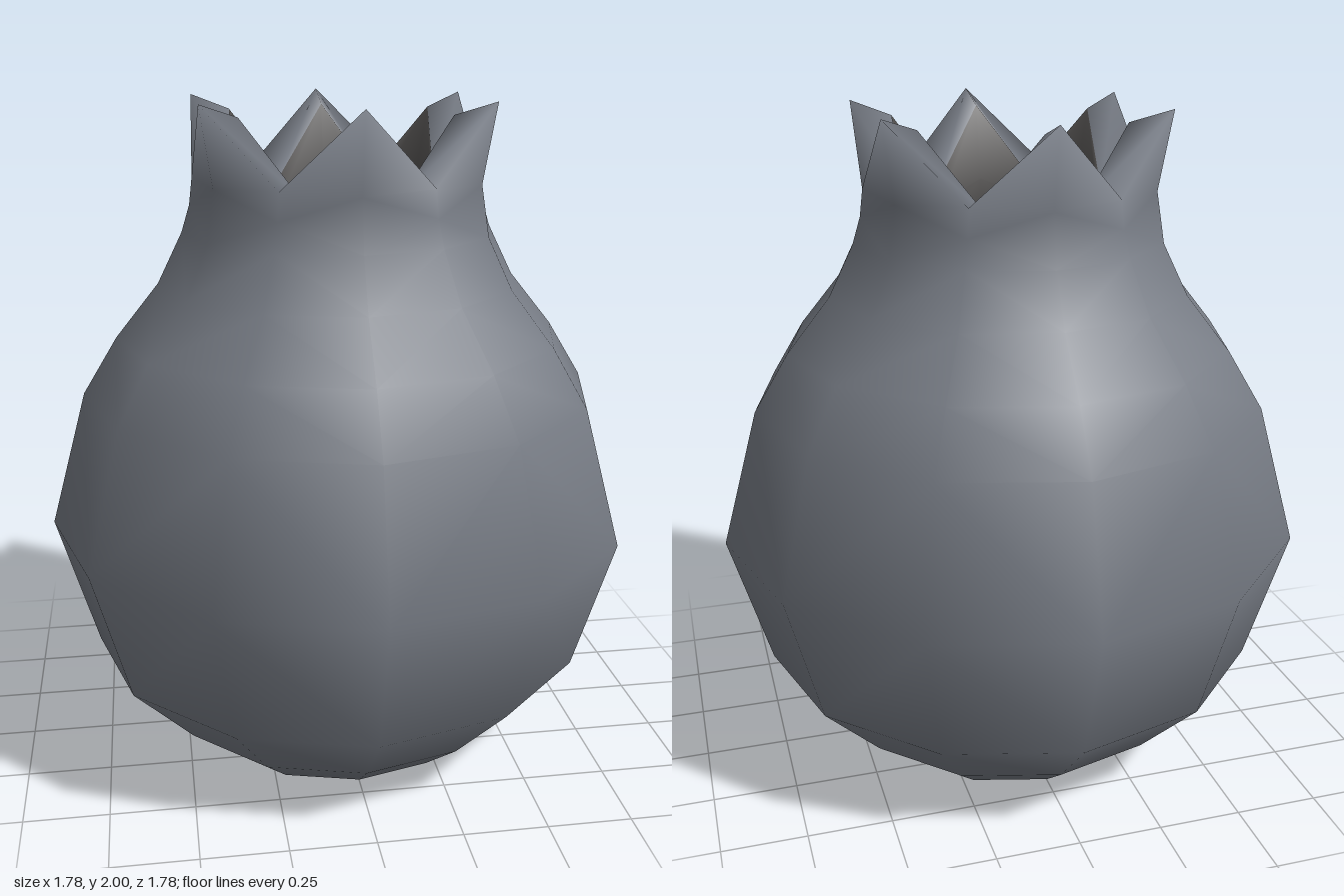
import * as THREE from 'three';

const SIDES = 12;

// Each ring: [radius, height] on valley columns, then optionally on tip columns
const SKIN = [
  [0, 0], [0.24, 0], [0.44, 0.005], [0.57, 0.11], [0.77, 0.32], [0.89, 0.73],
  [0.775, 1.14], [0.67, 1.31], [0.54, 1.47], [0.465, 1.62],
  [0.44, 1.7, 0.44, 1.77],    // base of the crown points
  [0.43, 1.78, 0.48, 2.0],    // outer crown edge
  [0.29, 1.75, 0.352, 1.96],  // inner crown edge
];
const INSIDE = [
  [0.285, 1.68, 0.305, 1.74], [0.28, 1.58], [0.4, 1.37], [0.58, 1.15],
  [0.74, 0.73], [0.63, 0.4], [0.4, 0.18], [0, 0.14],
];

// Rings joined into one closed, smooth shell with a material group per zone
function shellGeometry() {
  const rings = [...SKIN, ...INSIDE];
  const positions = [];
  const index = [];
  for (const [r, y, tipR = r, tipY = y] of rings) {
    for (let j = 0; j < SIDES; j++) {
      const a = (j / SIDES) * Math.PI * 2;
      const tip = j % 2 === 1;
      const radius = tip ? tipR : r;
      positions.push(radius * Math.cos(a), tip ? tipY : y, radius * Math.sin(a));
    }
  }
  let skinCount = 0;
  for (let i = 0; i < rings.length - 1; i++) {
    for (let j = 0; j < SIDES; j++) {
      const k = (j + 1) % SIDES;
      // the poles are single points
      const a = i === 0 ? 0 : i * SIDES + j;
      const b = i === 0 ? 0 : i * SIDES + k;
      const last = i === rings.length - 2;
      const d = (i + 1) * SIDES + (last ? 0 : j);
      const c = (i + 1) * SIDES + (last ? 0 : k);
      // diagonals mirrored on alternate columns so every crown point is symmetric
      const tris = j % 2 ? [[a, d, c], [a, c, b]] : [[a, d, b], [b, d, c]];
      for (const t of tris) {
        if (new Set(t).size === 3) index.push(...t);
      }
    }
    if (i === SKIN.length - 2) skinCount = index.length;
  }
  const geometry = new THREE.BufferGeometry();
  geometry.setAttribute('position', new THREE.Float32BufferAttribute(positions, 3));
  geometry.setIndex(index);
  geometry.addGroup(0, skinCount, 0);
  geometry.addGroup(skinCount, index.length - skinCount, 1);
  geometry.computeVertexNormals();
  return geometry;
}

export function createModel() {
  const skin = new THREE.MeshStandardMaterial({ color: 0x777c85 });
  skin.name = 'slate grey skin';
  const inside = new THREE.MeshStandardMaterial({ color: 0x504e4d });
  inside.name = 'dark grey inside';

  const group = new THREE.Group();
  group.name = 'pomegranateVase';
  const shell = new THREE.Mesh(shellGeometry(), [skin, inside]);
  shell.name = 'crownedShell';
  group.add(shell);
  return group;
}
